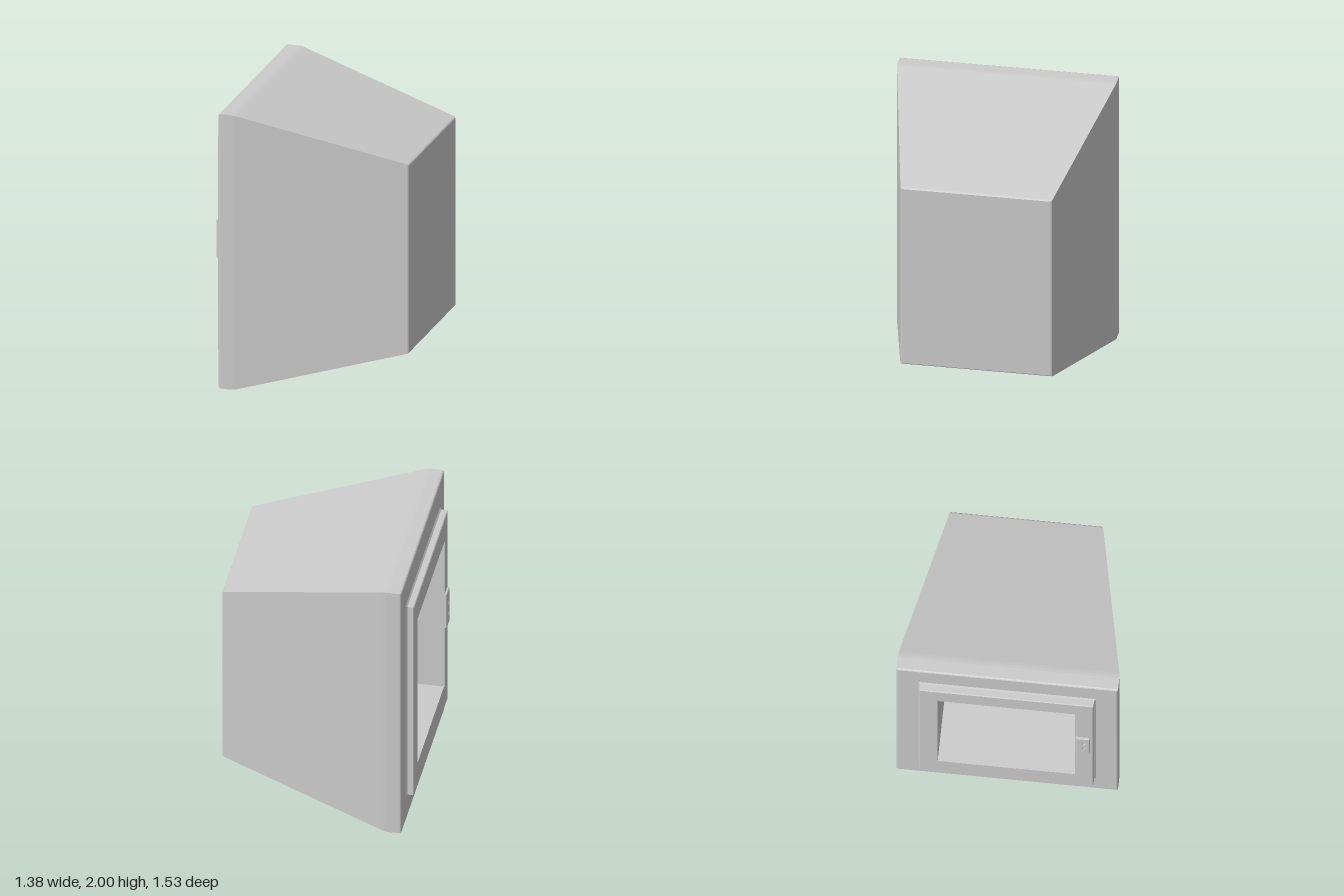
import * as THREE from 'three';

const material = new THREE.MeshStandardMaterial({ color: 0xcccccc });
const MID_Y = 1.0;

// Skin of rectangular rings [x, halfHeight, halfDepth], flat faced
function loft(sections) {
  const corners = [[1, 1], [-1, 1], [-1, -1], [1, -1]];
  const pos = [];
  for (let i = 0; i < sections.length - 1; i++) {
    for (let k = 0; k < 4; k++) {
      const point = (s, c) => [s[0], MID_Y + c[0] * s[1], c[1] * s[2]];
      const c0 = corners[k], c1 = corners[(k + 1) % 4];
      const a = point(sections[i], c0), b = point(sections[i], c1);
      const c = point(sections[i + 1], c1), d = point(sections[i + 1], c0);
      pos.push(...a, ...b, ...c, ...a, ...c, ...d);
    }
  }
  const geo = new THREE.BufferGeometry();
  geo.setAttribute('position', new THREE.Float32BufferAttribute(pos, 3));
  geo.computeVertexNormals();
  return geo;
}

export function createModel() {
  const group = new THREE.Group();
  const add = (name, geometry) => {
    const mesh = new THREE.Mesh(geometry, material);
    mesh.name = name;
    group.add(mesh);
    return mesh;
  };
  const winH = 0.605, winD = 0.475; // half size of the opening

  // Tapered cabinet with softened rims
  add('cabinet', loft([
    [-0.615, winH, winD],
    [-0.615, 0.99, 0.757],
    [-0.61, 0.997, 0.764],
    [-0.602, 1.0, 0.767],
    [-0.52, 1.0, 0.767],
    [-0.5, 0.998, 0.766],
    [-0.48, 0.994, 0.763],
    [0.675, 0.69, 0.532],
    [0.683, 0.686, 0.528],
    [0.687, 0.68, 0.52],
    [0.687, 0, 0],
  ]));

  // Straight-walled interior, open towards the door
  add('interior', loft([
    [0.6, 0, 0],
    [0.6, winH, winD],
    [-0.67, winH, winD],
  ]));

  // Raised door frame, flaring slightly where it meets the cabinet
  add('doorFrame', loft([
    [-0.672, winH, winD],
    [-0.672, 0.778, 0.597],
    [-0.666, 0.784, 0.603],
    [-0.625, 0.784, 0.603],
    [-0.615, 0.796, 0.615],
  ]));

  // Latch plate with two half-round finger recesses
  const plate = new THREE.Shape([
    [-0.043, -0.135], [0.043, -0.135], [0.043, 0.135], [-0.043, 0.135],
  ].map(([x, y]) => new THREE.Vector2(x, y)));
  for (const side of [1, -1]) {
    const hole = new THREE.Path();
    hole.absarc(0, side * 0.045, 0.022, -Math.PI / 2, Math.PI / 2, false);
    hole.closePath();
    plate.holes.push(hole);
  }
  const latchGeo = new THREE.ExtrudeGeometry(plate, {
    depth: 0.012, curveSegments: 10,
    bevelEnabled: true, bevelSize: 0.005, bevelThickness: 0.005, bevelSegments: 1,
  });
  latchGeo.rotateY(-Math.PI / 2);
  add('latch', latchGeo).position.set(-0.671, 1.02, 0.53);

  return group;
}
